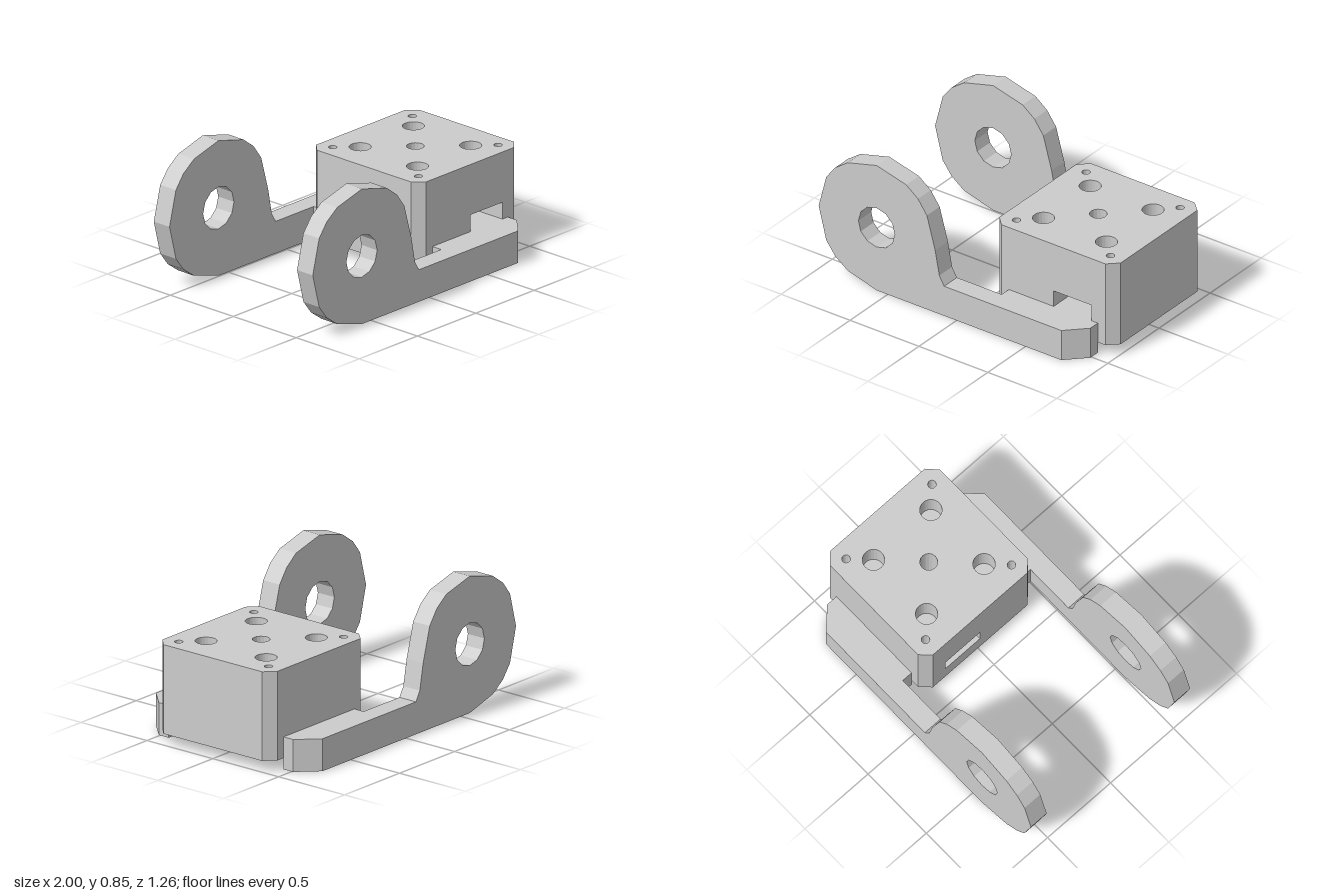
import * as THREE from 'three';

const material = new THREE.MeshStandardMaterial({ color: 0xcccccc, flatShading: true });

// Shape from [x, y] points with round holes [x, y, radius, sides]
function makeShape(points, holes = []) {
  const shape = new THREE.Shape(points.map(([x, y]) => new THREE.Vector2(x, y)));
  for (const [cx, cy, r, sides] of holes) {
    const ring = [];
    for (let i = 0; i < sides; i++) {
      const a = (i / sides) * Math.PI * 2;
      ring.push(new THREE.Vector2(cx + r * Math.cos(a), cy + r * Math.sin(a)));
    }
    shape.holes.push(new THREE.Path(ring));
  }
  return shape;
}

function extrude(shape, depth) {
  return new THREE.ExtrudeGeometry(shape, { depth, bevelEnabled: false });
}

// Extrudes a plan given in [x, z] upwards from y0 to y1
function slab(name, plan, holes, y0, y1) {
  const shape = makeShape(
    plan.map(([x, z]) => [x, -z]),
    holes.map(([x, z, r, n]) => [x, -z, r, n])
  );
  const geometry = extrude(shape, y1 - y0).rotateX(-Math.PI / 2).translate(0, y0, 0);
  const mesh = new THREE.Mesh(geometry, material);
  mesh.name = name;
  return mesh;
}

// Side arm: ring plate with a thick, chamfered foot; side is +1 or -1
function makeArm(side) {
  const arm = new THREE.Group();
  arm.name = side > 0 ? 'frontArm' : 'backArm';

  const outline = [
    [-0.58, 0], [0.235, 0], [0.235, 0.2], [-0.09, 0.2], [-0.125, 0.26],
    [-0.155, 0.42], [-0.215, 0.635], [-0.28, 0.725], [-0.365, 0.79],
    [-0.58, 0.845], [-0.79, 0.79], [-0.88, 0.725], [-0.945, 0.64],
    [-1, 0.425], [-0.945, 0.21], [-0.88, 0.125], [-0.79, 0.06],
  ];
  const plate = new THREE.Mesh(
    extrude(makeShape(outline, [[-0.58, 0.425, 0.132, 12]]), 0.125), material);
  plate.name = 'ringPlate';
  plate.position.z = side > 0 ? 0.507 : -0.632;

  const footPlan = [[0.235, 0.435], [0.88, 0.435], [0.88, 0.51], [0.76, 0.632], [0.235, 0.632]]
    .map(([x, z]) => [x, z * side]);
  arm.add(plate, slab('foot', footPlan, [], 0, 0.2));
  return arm;
}

// Chamfered block, stacked in layers so that holes and pockets stay open
function makeBlock() {
  const block = new THREE.Group();
  block.name = 'block';
  const corners = [
    [0.18, -0.437], [0.935, -0.437], [1, -0.375], [1, 0.375],
    [0.935, 0.437], [0.18, 0.437], [0.12, 0.375], [0.12, -0.375],
  ];
  // Same outline with a pocket in the front and one in the -x side
  const pocketed = [
    ...corners.slice(0, 5),
    [0.835, 0.437], [0.835, 0.2], [0.56, 0.2], [0.56, 0.437],
    ...corners.slice(5, 7),
    [0.12, 0], [0.36, 0], [0.36, -0.275], [0.12, -0.275],
    corners[7],
  ];
  const bore = [0.56, 0, 0.13, 12];
  const centreHole = [0.56, 0, 0.052, 16];
  const topHoles = [centreHole];
  for (const sx of [-1, 1]) {
    for (const sz of [-1, 1]) {
      topHoles.push([0.56 + sx * 0.228, sz * 0.228, 0.065, 24]);
      topHoles.push([0.56 + sx * 0.341, sz * 0.341, 0.025, 16]);
    }
  }
  block.add(
    slab('base', corners, [bore], 0.07, 0.2),
    slab('pocketLayer', pocketed, [bore], 0.2, 0.305),
    slab('middle', corners, [centreHole], 0.305, 0.45),
    slab('drilledTop', corners, topHoles, 0.45, 0.62)
  );
  return block;
}

export function createModel() {
  const model = new THREE.Group();
  model.name = 'bracket';
  model.add(makeBlock(), makeArm(1), makeArm(-1));
  return model;
}
